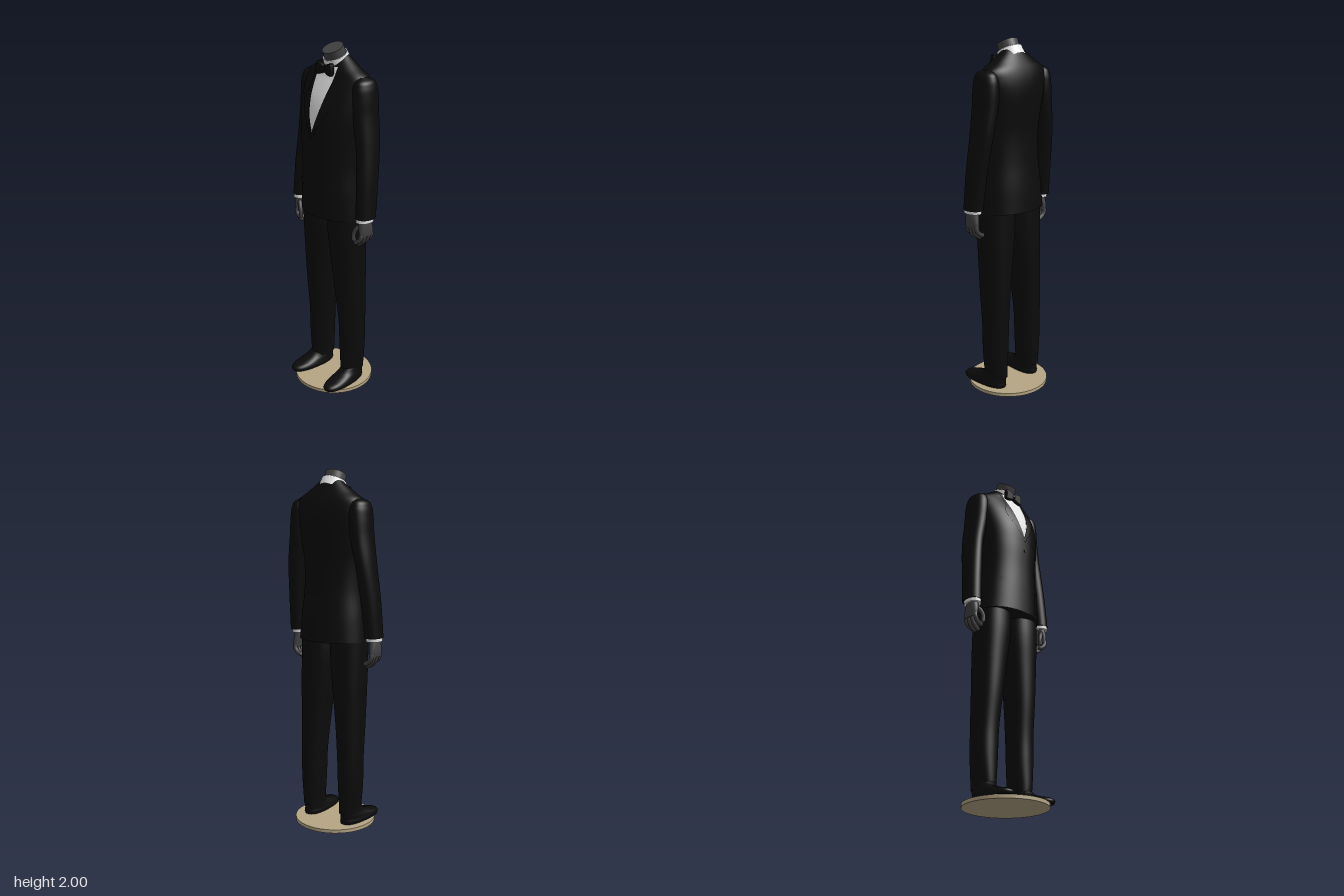
import * as THREE from 'three';

const paint = (name, color, side = THREE.FrontSide) => {
  const m = new THREE.MeshStandardMaterial({ color, side });
  m.name = name;
  return m;
};

// Smooth interpolation through rows of [y, a, b, c, ...]
function stations(rows) {
  const n = rows[0].length - 1;
  const f = new THREE.CubicInterpolant(rows.map(r => r[0]), new Float32Array(rows.flatMap(r => r.slice(1))), n);
  return y => Array.from(f.evaluate(y));
}

// Closed body from level super-ellipse rings; rows are [y, cx, cz, rx, rz], lowest first
function loft(rows, power = 2, sides = 40, steps = 6) {
  const at = stations(rows), pos = [], idx = [], levels = [];
  rows.forEach((r, i) => {
    if (i) for (let k = 1; k <= steps; k++) levels.push(THREE.MathUtils.lerp(rows[i - 1][0], r[0], k / steps));
    else levels.push(r[0]);
  });
  const bend = v => Math.sign(v) * Math.pow(Math.abs(v), 2 / power);
  const ring = y => {
    const [cx, cz, rx, rz] = at(y);
    for (let j = 0; j < sides; j++) {
      const a = j / sides * Math.PI * 2;
      pos.push(cx + rx * bend(Math.cos(a)), y, cz + rz * bend(Math.sin(a)));
    }
  };
  levels.forEach(ring);
  for (let i = 0; i < levels.length - 1; i++) for (let j = 0; j < sides; j++) {
    const a = i * sides + j, b = i * sides + (j + 1) % sides;
    idx.push(a, a + sides, b, b, a + sides, b + sides);
  }
  // End caps with their own rims, so the edges stay sharp
  for (const top of [false, true]) {
    const y = levels[top ? levels.length - 1 : 0], start = pos.length / 3, c = start + sides;
    ring(y);
    const [cx, cz] = at(y);
    pos.push(cx, y, cz);
    for (let j = 0; j < sides; j++) {
      const a = start + j, b = start + (j + 1) % sides;
      idx.push(c, top ? b : a, top ? a : b);
    }
  }
  return build(pos, idx);
}

function build(pos, idx) {
  const g = new THREE.BufferGeometry();
  g.setAttribute('position', new THREE.Float32BufferAttribute(pos, 3));
  g.setIndex(idx);
  g.computeVertexNormals();
  return g;
}

// Jacket body: [y, half width, front z, back z]
const BODY = [
  [1.07, .205, .15, -.165], [1.2, .195, .15, -.155], [1.35, .182, .15, -.14], [1.5, .187, .153, -.135],
  [1.62, .2, .145, -.145], [1.72, .21, .116, -.152], [1.79, .213, .082, -.145], [1.84, .2, .055, -.13],
  [1.88, .14, .04, -.11], [1.92, .085, .015, -.086], [1.945, .055, 0, -.068],
].map(([y, w, f, b]) => [y, 0, (f + b) / 2, w, (f - b) / 2]);
const POWER = 2.2;
const bodyAt = stations(BODY);
const frontZ = (x, y) => {
  const [, cz, rx, rz] = bodyAt(y);
  return cz + rz * Math.pow(Math.max(0, 1 - Math.pow(Math.abs(x) / rx, POWER)), 1 / POWER);
};

// Thin sheet lying on the chest between two edges given as functions of y
function sheet(y0, y1, left, right, lift) {
  const pos = [], idx = [], nx = 12, ny = 24;
  for (let i = 0; i <= ny; i++) for (let j = 0; j <= nx; j++) {
    const y = THREE.MathUtils.lerp(y0, y1, i / ny), x = THREE.MathUtils.lerp(left(y), right(y), j / nx);
    pos.push(x, y, frontZ(x, y) + lift);
    if (i < ny && j < nx) {
      const a = i * (nx + 1) + j, b = a + nx + 1;
      idx.push(a, a + 1, b, a + 1, b + 1, b);
    }
  }
  return build(pos, idx);
}

// Rounded finger along a bent path
function finger(group, name, points, r, mat) {
  const path = new THREE.CatmullRomCurve3(points.map(p => new THREE.Vector3(...p)));
  const tube = new THREE.Mesh(new THREE.TubeGeometry(path, 12, r, 10), mat);
  const tip = new THREE.Mesh(new THREE.SphereGeometry(r, 10, 8), mat);
  tip.position.copy(path.getPoint(1));
  tube.name = name;
  tip.name = name + 'Tip';
  group.add(tube, tip);
}

export function createModel() {
  const model = new THREE.Group();
  model.name = 'suitMannequin';
  const black = paint('black cloth', 0x0b0b0b);
  const trim = paint('black trim', 0x0b0b0b, THREE.DoubleSide);
  const white = paint('white shirt', 0xeeeeee, THREE.DoubleSide);
  const grey = paint('dark grey body', 0x424244);
  const tan = paint('tan base', 0xb5a584);
  const add = (parent, name, geo, mat, x = 0, y = 0, z = 0) => {
    const m = new THREE.Mesh(geo, mat);
    m.name = name;
    m.position.set(x, y, z);
    parent.add(m);
    return m;
  };

  add(model, 'base', new THREE.CylinderGeometry(.23, .23, .02, 64), tan, 0, .01, 0);
  add(model, 'jacketBody', loft(BODY, POWER, 64), black);

  // Shirt front, lapels and jacket opening
  const openAt = stations([[1.55, .001], [1.62, .025], [1.7, .046], [1.83, .068], [1.885, .07]]);
  const open = y => Math.max(0, openAt(Math.max(y, 1.55))[0]);
  add(model, 'shirtFront', sheet(1.55, 1.885, y => -open(y), open, .004), white);
  const lapelAt = stations([[1.5, .002], [1.6, .035], [1.73, .055], [1.75, .035], [1.88, .02]]);
  const lapel = y => open(y) + lapelAt(y)[0];
  add(model, 'leftLapel', sheet(1.5, 1.88, open, lapel, .007), trim);
  add(model, 'rightLapel', sheet(1.5, 1.88, y => -lapel(y), y => -open(y), .007), trim);
  add(model, 'frontOverlap', sheet(1.08, 1.52, y => -.012 + Math.max(0, 1.25 - y) * .2, () => .1, .004), trim);
  for (const s of [-1, 1])
    add(model, s > 0 ? 'leftPocketFlap' : 'rightPocketFlap',
      sheet(1.23, 1.265, () => s * .12 - .035, () => s * .12 + .035, .005), trim);
  const button = add(model, 'button', new THREE.CylinderGeometry(.009, .009, .006, 16), black, .004, 1.46, frontZ(0, 1.46) + .005);
  button.rotation.x = Math.PI / 2;

  // Neck and shirt collar lean forward together
  const neck = new THREE.Group();
  neck.name = 'neckAndCollar';
  neck.position.set(0, 1.975, .008);
  neck.rotation.x = .42;
  model.add(neck);
  add(neck, 'neck', new THREE.CylinderGeometry(.058, .06, .12, 40), grey, 0, -.06, 0);
  add(neck, 'shirtCollar', new THREE.LatheGeometry(
    [[.073, -.09], [.068, -.042], [.064, -.039], [.06, -.044]].map(p => new THREE.Vector2(...p)), 40), white);

  // Bow tie
  const wing = new THREE.Shape();
  wing.moveTo(0, -.01);
  wing.quadraticCurveTo(.03, -.03, .052, -.028);
  wing.quadraticCurveTo(.06, 0, .052, .028);
  wing.quadraticCurveTo(.03, .03, 0, .01);
  const wingGeo = new THREE.ExtrudeGeometry(wing, { depth: .014, bevelSize: .004, bevelThickness: .006, bevelSegments: 3, curveSegments: 10 });
  const bow = new THREE.Group();
  bow.name = 'bowTie';
  bow.position.set(0, 1.872, .056);
  model.add(bow);
  for (const s of [-1, 1]) add(bow, s > 0 ? 'leftWing' : 'rightWing', wingGeo, black).scale.x = s;
  add(bow, 'knot', new THREE.SphereGeometry(.016, 20, 14), black, 0, 0, .009);

  // Limbs, built on the left and mirrored
  const sleeve = loft([
    [1.1, .26, .005, .046, .06], [1.3, .249, -.012, .048, .066], [1.5, .23, -.032, .049, .074],
    [1.65, .206, -.036, .055, .08], [1.75, .198, -.036, .056, .08], [1.8, .196, -.036, .05, .072],
    [1.828, .195, -.036, .037, .055], [1.843, .19, -.036, .015, .025],
  ], 2.1);
  const cuff = loft([[1.08, .259, .01, .04, .054], [1.11, .259, .008, .041, .055]]);
  const palm = loft([
    [.995, .266, .008, .017, .045], [1.02, .267, .008, .021, .048], [1.055, .264, .01, .025, .044], [1.09, .26, .01, .025, .036],
  ], 2.3, 28);
  const trouser = loft([
    [.08, .128, -.03, .05, .075], [.12, .129, -.029, .053, .077], [.25, .13, -.028, .065, .078],
    [.4, .128, -.027, .068, .081], [.6, .121, -.018, .077, .092], [.8, .111, -.012, .09, .101],
    [.97, .102, -.006, .1, .107], [1.1, .101, -.005, .1, .108],
  ], 2.2);
  const shoe = loft([
    [.02, 0, .05, .056, .145], [.035, 0, .05, .059, .148], [.05, 0, .042, .056, .138], [.064, 0, .016, .053, .112],
    [.08, 0, -.008, .049, .088], [.11, 0, -.025, .045, .066],
  ], 2.4, 40);

  for (const s of [1, -1]) {
    const side = new THREE.Group();
    side.name = s > 0 ? 'leftLimbs' : 'rightLimbs';
    side.scale.x = s;
    model.add(side);
    add(side, 'sleeve', sleeve, black);
    add(side, 'shirtCuff', cuff, white);
    add(side, 'trouserLeg', trouser, black);
    add(side, 'shoe', shoe, black, .134, 0, 0).rotation.y = .07;

    const hand = new THREE.Group();
    hand.name = 'hand';
    side.add(hand);
    add(hand, 'palm', palm, grey);
    [[.046, .955], [.02, .938], [-.006, .94], [-.03, .955]].forEach(([z, y], i) =>
      finger(hand, 'finger' + (i + 1), [[.267, 1.02, z * .9], [.268, .995, z], [.256, (y + .99) / 2, z], [.228, y, z]], .0125, grey));
    finger(hand, 'thumb', [[.255, 1.06, .035], [.232, 1.035, .05], [.221, 1.005, .056], [.222, .975, .056]], .012, grey);
  }
  return model;
}
